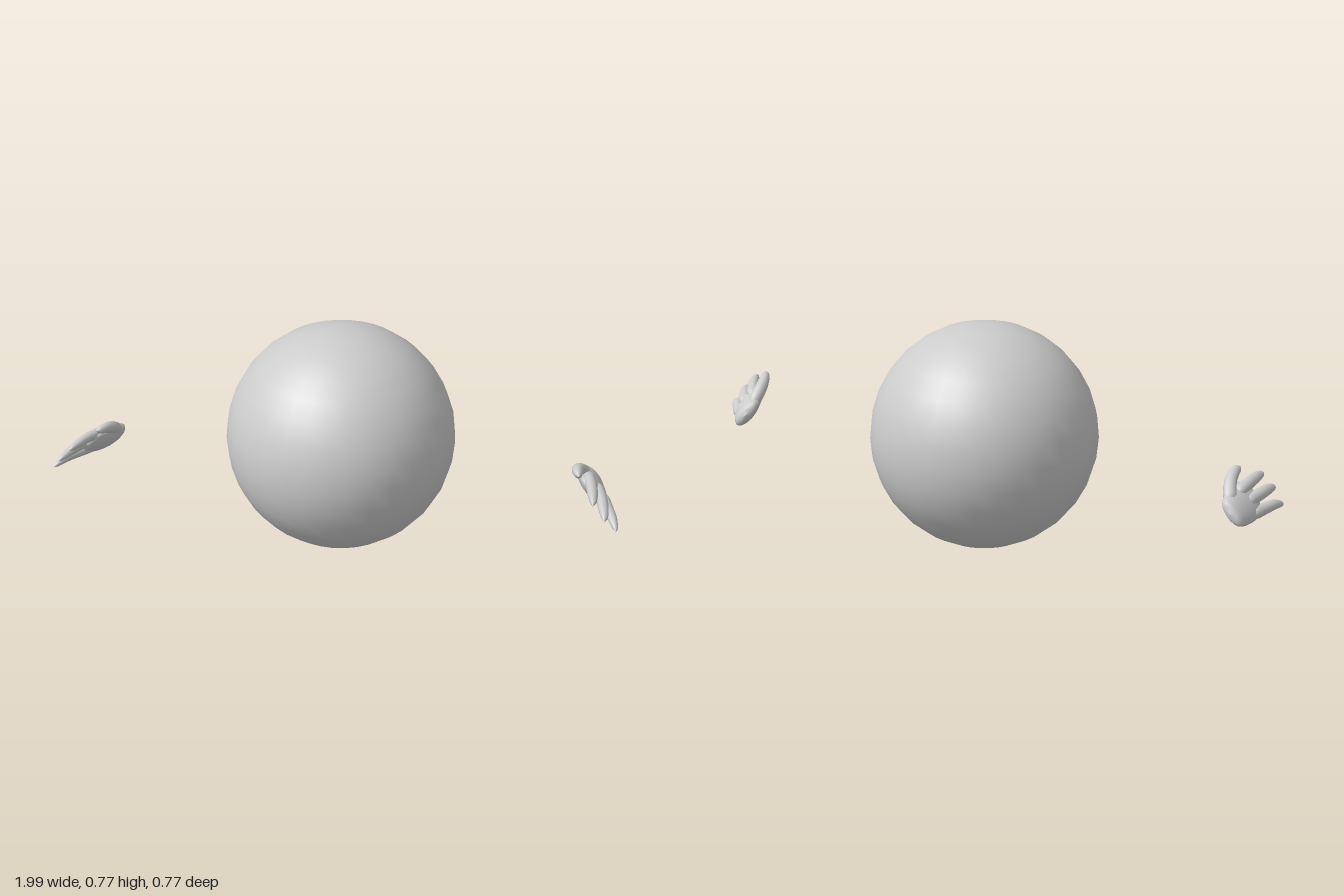
import * as THREE from 'three';

const material = new THREE.MeshStandardMaterial({ color: 0xcccccc });
const ACROSS = new THREE.Vector3(-0.66, 0.75, 0).normalize(); // little finger -> thumb

// Smooth closed limb: rows of [x, y, z, half width, half thickness], ends at zero radius.
// side = -1 mirrors it across x.
function limb(name, rows, side, rings = 20, sides = 16) {
  const path = new THREE.CatmullRomCurve3(rows.map((r) => new THREE.Vector3(r[0], r[1], r[2])));
  const size = new THREE.CatmullRomCurve3(rows.map((r) => new THREE.Vector3(r[3], r[4], 0)));
  const pos = [], idx = [];
  for (let i = 0; i <= rings; i++) {
    // rings crowd towards both ends so the tips stay round
    const t = 0.5 - 0.5 * Math.cos((Math.PI * i) / rings);
    const c = path.getPoint(t), r = size.getPoint(t), tan = path.getTangent(t);
    const a = ACROSS.clone().addScaledVector(tan, -ACROSS.dot(tan)).normalize();
    const n = new THREE.Vector3().crossVectors(tan, a);
    for (let j = 0; j < sides; j++) {
      const q = (2 * Math.PI * j) / sides;
      const p = c.clone()
        .addScaledVector(a, Math.max(r.x, 0.0005) * Math.cos(q))
        .addScaledVector(n, Math.max(r.y, 0.0005) * Math.sin(q));
      pos.push(side * p.x, p.y, p.z);
      if (i === rings) continue;
      const k = (j + 1) % sides, u = i * sides, v = u + sides;
      if (side > 0) idx.push(u + j, u + k, v + j, u + k, v + k, v + j);
      else idx.push(u + j, v + j, u + k, u + k, v + j, v + k);
    }
  }
  // close both ends
  const last = rings * sides;
  for (let j = 1; j < sides - 1; j++) {
    if (side > 0) idx.push(0, j + 1, j, last, last + j, last + j + 1);
    else idx.push(0, j, j + 1, last, last + j + 1, last + j);
  }
  const geo = new THREE.BufferGeometry();
  geo.setAttribute('position', new THREE.Float32BufferAttribute(pos, 3));
  geo.setIndex(idx);
  geo.computeVertexNormals();
  const mesh = new THREE.Mesh(geo, material);
  mesh.name = name;
  return mesh;
}

const PARTS = {
  palm: [
    [0.853, 0.385, -0.047, 0, 0],
    [0.855, 0.384, -0.038, 0.047, 0.02],
    [0.862, 0.384, -0.01, 0.06, 0.027],
    [0.875, 0.39, 0.035, 0.07, 0.029],
    [0.894, 0.396, 0.08, 0.068, 0.023],
    [0.906, 0.396, 0.105, 0.045, 0.014],
    [0.912, 0.396, 0.118, 0, 0],
  ],
  thumb: [
    [0.845, 0.405, -0.015, 0, 0],
    [0.84, 0.425, 0.015, 0.024, 0.022],
    [0.833, 0.455, 0.055, 0.022, 0.021],
    [0.836, 0.474, 0.095, 0.02, 0.018],
    [0.844, 0.481, 0.125, 0.015, 0.013],
    [0.852, 0.484, 0.145, 0, 0],
  ],
  indexFinger: [
    [0.855, 0.425, 0.03, 0, 0],
    [0.868, 0.432, 0.06, 0.022, 0.02],
    [0.888, 0.441, 0.115, 0.021, 0.018],
    [0.903, 0.443, 0.165, 0.019, 0.016],
    [0.914, 0.441, 0.205, 0.012, 0.01],
    [0.918, 0.439, 0.226, 0, 0],
  ],
  middleFinger: [
    [0.885, 0.395, 0.03, 0, 0],
    [0.9, 0.398, 0.065, 0.022, 0.021],
    [0.925, 0.402, 0.12, 0.021, 0.018],
    [0.942, 0.401, 0.17, 0.019, 0.016],
    [0.955, 0.395, 0.212, 0.012, 0.01],
    [0.959, 0.391, 0.232, 0, 0],
  ],
  littleFinger: [
    [0.905, 0.36, 0.02, 0, 0],
    [0.922, 0.358, 0.06, 0.022, 0.02],
    [0.948, 0.358, 0.11, 0.02, 0.017],
    [0.969, 0.357, 0.15, 0.018, 0.015],
    [0.988, 0.348, 0.188, 0.011, 0.009],
    [0.994, 0.343, 0.205, 0, 0],
  ],
};

function hand(name, side) {
  const group = new THREE.Group();
  group.name = name;
  for (const [part, rows] of Object.entries(PARTS)) group.add(limb(part, rows, side));
  return group;
}

export function createModel() {
  const model = new THREE.Group();

  // floating round body
  const body = new THREE.Mesh(new THREE.SphereGeometry(0.387, 32, 16), material);
  body.name = 'body';
  body.position.y = 0.389;
  model.add(body);

  // free-floating hands, the right one held lower
  const left = hand('leftHand', 1);
  const right = hand('rightHand', -1);
  right.position.y = -0.175;
  model.add(left, right);
  return model;
}
